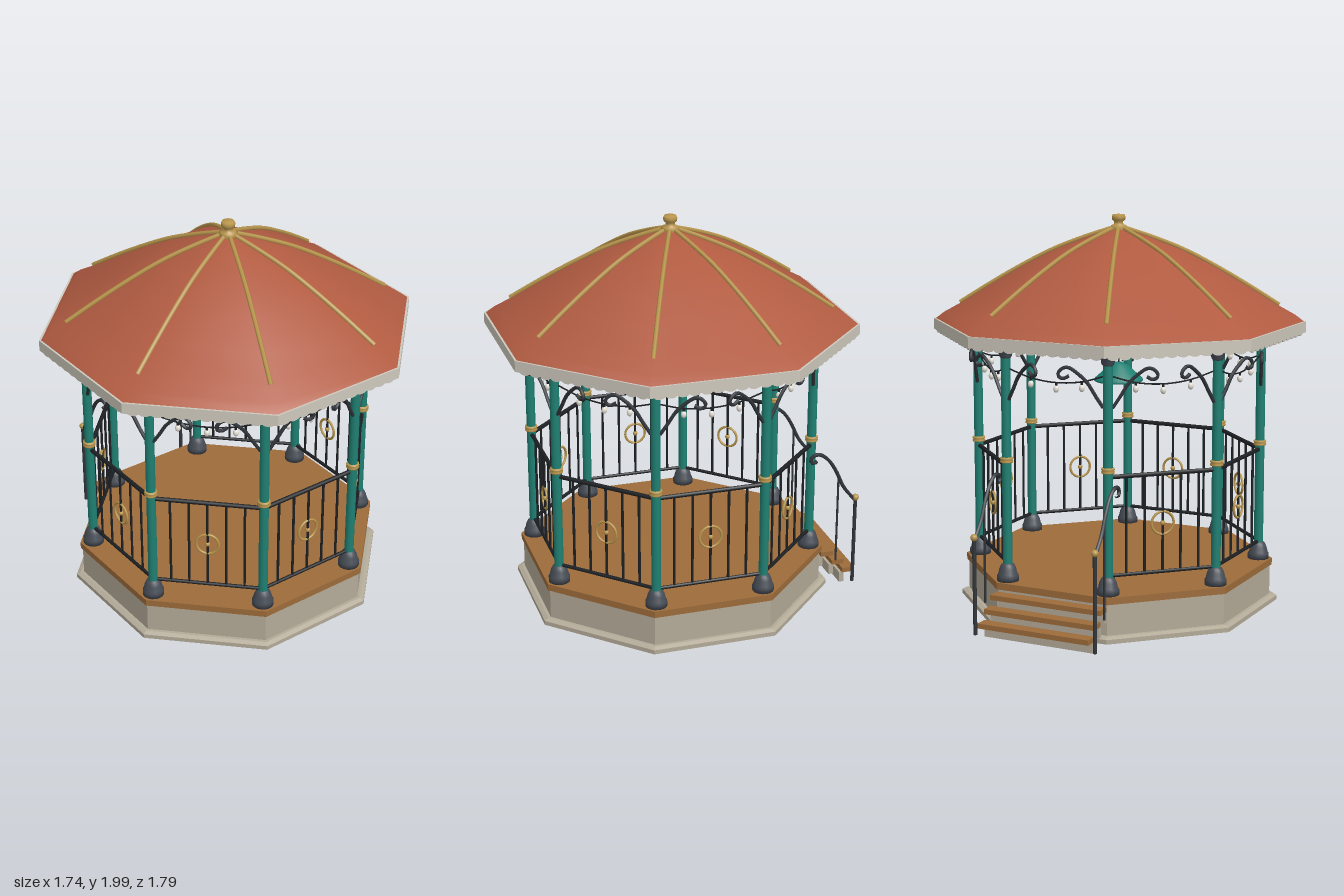
import * as THREE from 'three';

const mat = (name, color) => {
  const m = new THREE.MeshStandardMaterial({ color });
  m.name = name;
  return m;
};
const teal = mat('teal paint', 0x1f7f72);
const brass = mat('brass', 0xb8954c);
const iron = mat('black iron', 0x1d2023);
const steel = mat('dark grey iron', 0x31363b);
const slate = mat('slate iron', 0x464c55);
const brick = mat('terracotta roof', 0xb15b41);
const wood = mat('wood', 0x9c6b3a);
const stone = mat('stone', 0xb3aa98);
const cream = mat('cream trim', 0xcdc8bc);
const glass = mat('bulb glass', 0xe6e2d6);

const COS = Math.cos(Math.PI / 8), STEP = Math.PI / 4;
const POST_R = 0.72, HALF_SPAN = POST_R * Math.sin(Math.PI / 8), RAIL_Z = POST_R * COS;

function add(parent, name, geometry, material, x = 0, y = 0, z = 0) {
  const mesh = new THREE.Mesh(geometry, material);
  mesh.name = name;
  mesh.position.set(x, y, z);
  parent.add(mesh);
  return mesh;
}
function subgroup(parent, name, angle = 0) {
  const g = new THREE.Group();
  g.name = name;
  g.rotation.y = angle;
  parent.add(g);
  return g;
}
const v2 = (pts, k = 1) => pts.map(([r, y]) => new THREE.Vector2(r * k, y));
const lathe = (pts, segments = 16) => new THREE.LatheGeometry(v2(pts), segments);
const rod = (r, y0, y1, n = 8) => new THREE.CylinderGeometry(r, r, y1 - y0, n).translate(0, (y0 + y1) / 2, 0);
const tube = (pts, r, n = 24, sides = 6) =>
  new THREE.TubeGeometry(new THREE.CatmullRomCurve3(pts.map(p => new THREE.Vector3(...p))), n, r, sides);
function flat(geometry) {
  const g = geometry.toNonIndexed();
  g.computeVertexNormals();
  return g;
}
// Octagonal prism measured by its flat-to-centre distance
const octagon = (aBottom, aTop, y0, y1) =>
  flat(new THREE.CylinderGeometry(aTop / COS, aBottom / COS, y1 - y0, 8, 1, false, Math.PI / 8)
    .translate(0, (y0 + y1) / 2, 0));

function buildBase(parent) {
  const g = subgroup(parent, 'base');
  add(g, 'plinth', octagon(0.755, 0.755, 0.02, 0.042), stone);
  add(g, 'plinthBevel', octagon(0.755, 0.735, 0.042, 0.052), stone);
  add(g, 'baseWall', octagon(0.72, 0.72, 0.05, 0.206), stone);
  add(g, 'deck', octagon(0.73, 0.73, 0.206, 0.24), wood);
}

const ROOF = [[0.86, 1.467], [0.82, 1.5], [0.745, 1.545], [0.6, 1.643], [0.45, 1.737],
  [0.3, 1.82], [0.15, 1.883], [0.04, 1.922], [0, 1.925]];

function buildRoof(parent) {
  const g = subgroup(parent, 'roof');
  add(g, 'roofCover', new THREE.LatheGeometry(v2(ROOF, 1 / COS), 8, Math.PI / 8), brick);
  add(g, 'eaveUnderside', octagon(0.855, 0.855, 1.452, 1.466), brick);
  add(g, 'soffit', octagon(0.79, 0.79, 1.41, 1.452), cream);
  const band = [[0.852, 1.412], [0.87, 1.412], [0.87, 1.467], [0.852, 1.467], [0.852, 1.412]];
  add(g, 'fascia', flat(new THREE.LatheGeometry(v2(band, 1 / COS), 8, Math.PI / 8)), cream);

  for (let i = 0; i < 8; i++) {
    // Ridge bead along each hip
    const hip = subgroup(g, 'hip', (i + 0.5) * STEP);
    const path = ROOF.slice(2, 8).map(([r, y]) => [0, y + 0.006, r / COS]);
    add(hip, 'ridgeBead', tube(path, 0.011, 20), brass);
    // Scalloped edging below each fascia
    const side = subgroup(g, 'eaveSide', i * STEP);
    for (let k = 0; k < 12; k++) {
      const disc = new THREE.CylinderGeometry(0.028, 0.028, 0.008, 10, 1, false, -Math.PI / 2, Math.PI);
      disc.rotateX(Math.PI / 2).scale(1, 0.55, 1);
      add(side, 'scallop', disc, cream, (k - 5.5) * 0.057, 1.414, 0.858);
    }
  }
  add(g, 'finial', lathe([[0.04, 1.915], [0.043, 1.93], [0.038, 1.943], [0.024, 1.948], [0.022, 1.962],
    [0.033, 1.97], [0.035, 1.985], [0.03, 1.997], [0, 2]], 20), brass);
}

function buildColumn(parent, i) {
  const arm = subgroup(parent, 'column', (i + 0.5) * STEP);
  const g = subgroup(arm, 'columnParts');
  g.position.z = POST_R;
  add(g, 'shaft', rod(0.0235, 0.25, 1.4, 16), teal);
  add(g, 'columnFoot', lathe([[0, 0.24], [0.054, 0.24], [0.054, 0.265], [0.048, 0.275], [0.042, 0.3],
    [0.033, 0.32], [0.024, 0.327]]), slate);
  add(g, 'capital', lathe([[0.024, 1.345], [0.031, 1.355], [0.034, 1.375], [0.047, 1.395], [0.048, 1.412],
    [0, 1.412]]), slate);
  add(g, 'collar', lathe([[0.023, 0.83], [0.031, 0.832], [0.033, 0.838], [0.028, 0.844],
    [0.033, 0.85], [0.031, 0.857], [0.023, 0.859]]), brass);
  // Scrolled brackets run along the tangent on both sides
  for (const s of [-1, 1]) {
    const path = [[0.022, 1.145], [0.058, 1.2], [0.095, 1.26], [0.14, 1.305], [0.19, 1.336],
      [0.222, 1.325], [0.235, 1.298], [0.212, 1.282], [0.182, 1.296]];
    add(g, 'bracket', tube(path.map(([x, y]) => [s * x, y, 0]), 0.009, 28), steel);
  }
}

function buildRailing(parent, i) {
  const g = subgroup(parent, 'railing', i * STEP);
  for (const y of [0.33, 0.812]) {
    const r = y > 0.5 ? 0.011 : 0.009;
    add(g, 'rail', rod(r, -HALF_SPAN, HALF_SPAN).rotateZ(Math.PI / 2), iron, 0, y, RAIL_Z);
  }
  for (let k = -2; k <= 2; k++) add(g, 'baluster', rod(0.0065, 0.33, 0.81, 6), iron, k * HALF_SPAN / 3, 0, RAIL_Z);
  add(g, 'ring', new THREE.TorusGeometry(0.056, 0.0065, 8, 28), brass, 0, 0.57, RAIL_Z);
  add(g, 'rosette', new THREE.SphereGeometry(0.013, 10, 8), brass, 0, 0.57, RAIL_Z);
}

function buildLights(parent, i) {
  const g = subgroup(parent, 'stringLights', i * STEP);
  const sag = t => 1.245 + 0.055 * t * t;
  const path = [-1, -0.5, 0, 0.5, 1].map(t => [t * HALF_SPAN, sag(t), RAIL_Z]);
  add(g, 'wire', tube(path, 0.004, 20, 5), iron);
  for (const t of [-0.5, 0, 0.5]) {
    add(g, 'socket', rod(0.006, -0.018, 0, 6), iron, t * HALF_SPAN, sag(t), RAIL_Z);
    add(g, 'bulb', new THREE.SphereGeometry(0.014, 10, 8).scale(1, 1.3, 1), glass,
      t * HALF_SPAN, sag(t) - 0.031, RAIL_Z);
  }
}

function buildLamp(parent) {
  const g = subgroup(parent, 'hangingLamp');
  add(g, 'lampRod', rod(0.004, 1.24, 1.415, 6), iron);
  // Closed profile: inner face, rim, outer face
  add(g, 'lampShade', lathe([[0, 1.235], [0.04, 1.225], [0.115, 1.162], [0.12, 1.154], [0.125, 1.158],
    [0.122, 1.168], [0.045, 1.236], [0.02, 1.25], [0, 1.252]], 28), teal);
  add(g, 'lampBulb', new THREE.SphereGeometry(0.025, 12, 10), glass, 0, 1.195, 0);
}

function buildSteps(parent) {
  const g = subgroup(parent, 'backSteps');
  for (let i = 0; i < 3; i++) {
    const y = 0.183 - i * 0.055, z = -0.738 - i * 0.061;
    add(g, 'tread', new THREE.BoxGeometry(0.6, 0.025, 0.067), wood, 0, y, z);
    add(g, 'riser', new THREE.BoxGeometry(0.59, 0.055, 0.026), stone, 0, Math.max(y - 0.04, 0.0275), z + 0.035);
  }
  for (const s of [-1, 1]) {
    const h = subgroup(g, 'handrail');
    h.position.x = s * 0.325;
    add(h, 'newel', rod(0.01, 0.02, 0.49), steel, 0, 0, -0.873);
    add(h, 'newelBall', new THREE.SphereGeometry(0.018, 14, 10), brass, 0, 0.503, -0.873);
    add(h, 'middlePost', rod(0.006, 0.155, 0.63, 6), steel, 0, 0, -0.775);
    const path = [[0.485, -0.873], [0.57, -0.806], [0.67, -0.758], [0.735, -0.715], [0.769, -0.668],
      [0.765, -0.634], [0.742, -0.62], [0.724, -0.635], [0.735, -0.654]];
    add(h, 'scrolledRail', tube(path.map(([y, z]) => [0, y, z]), 0.01, 32), steel);
  }
}

export function createModel() {
  const model = new THREE.Group();
  model.name = 'bandstand';
  const pavilion = subgroup(model, 'pavilion');
  pavilion.position.z = 0.026;
  buildBase(pavilion);
  buildRoof(pavilion);
  buildLamp(pavilion);
  for (let i = 0; i < 8; i++) {
    buildColumn(pavilion, i);
    buildLights(pavilion, i);
    if (i !== 4) buildRailing(pavilion, i); // the back side is the entrance
  }
  buildSteps(model);
  return model;
}
